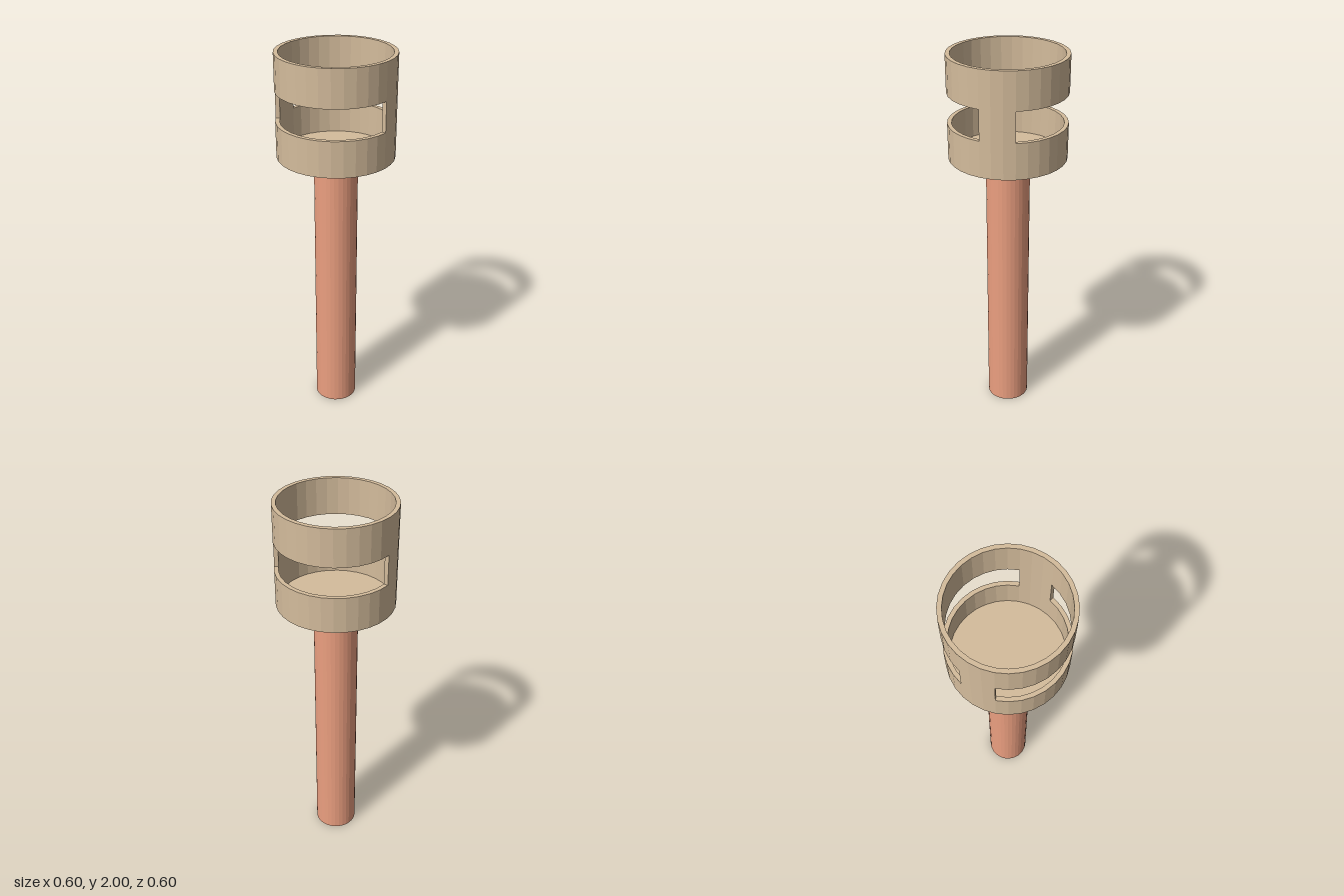
import * as THREE from 'three';

const SIDES = 32, OUTER = 0.3, INNER = 0.278;
const BASE = 1.47, CUP_TOP = 1.655, BAND_BOTTOM = 1.81, TOP = 2;

export function createModel() {
  const group = new THREE.Group();
  const beige = new THREE.MeshStandardMaterial({ color: 0xd4bc9c, flatShading: true });
  const copper = new THREE.MeshStandardMaterial({ color: 0xeb9f80, flatShading: true });

  const add = (name, geometry, material) => {
    const mesh = new THREE.Mesh(geometry, material);
    mesh.name = name;
    group.add(mesh);
    return mesh;
  };
  const lathe = (profile) =>
    new THREE.LatheGeometry(profile.map(([r, y]) => new THREE.Vector2(r, y)), SIDES);

  // Handle rod
  add('handle', new THREE.CylinderGeometry(0.112, 0.112, BASE, SIDES), copper).position.y = BASE / 2;

  // Lower cup with a thin floor
  add('lowerCup', lathe([
    [0, BASE], [OUTER, BASE], [OUTER, CUP_TOP], [INNER, CUP_TOP], [INNER, 1.492], [0, 1.492],
  ]), beige);

  // Open upper band
  add('upperBand', lathe([
    [INNER, BAND_BOTTOM], [OUTER, BAND_BOTTOM], [OUTER, TOP], [INNER, TOP], [INNER, BAND_BOTTOM],
  ]), beige);

  // Two opposite curved posts, each three wall facets wide
  const step = (Math.PI * 2) / SIDES;
  const arc = (r) => [3, 4, 5, 6].map((i) =>
    new THREE.Vector2(r * Math.cos(i * step), -r * Math.sin(i * step)));
  const section = new THREE.Shape([...arc(OUTER), ...arc(INNER).reverse()]);
  const postGeometry = new THREE.ExtrudeGeometry(section, {
    depth: BAND_BOTTOM - CUP_TOP, bevelEnabled: false,
  });
  postGeometry.rotateX(-Math.PI / 2);
  postGeometry.translate(0, CUP_TOP, 0);
  add('frontPost', postGeometry, beige);
  add('backPost', postGeometry, beige).rotation.y = Math.PI;

  return group;
}
